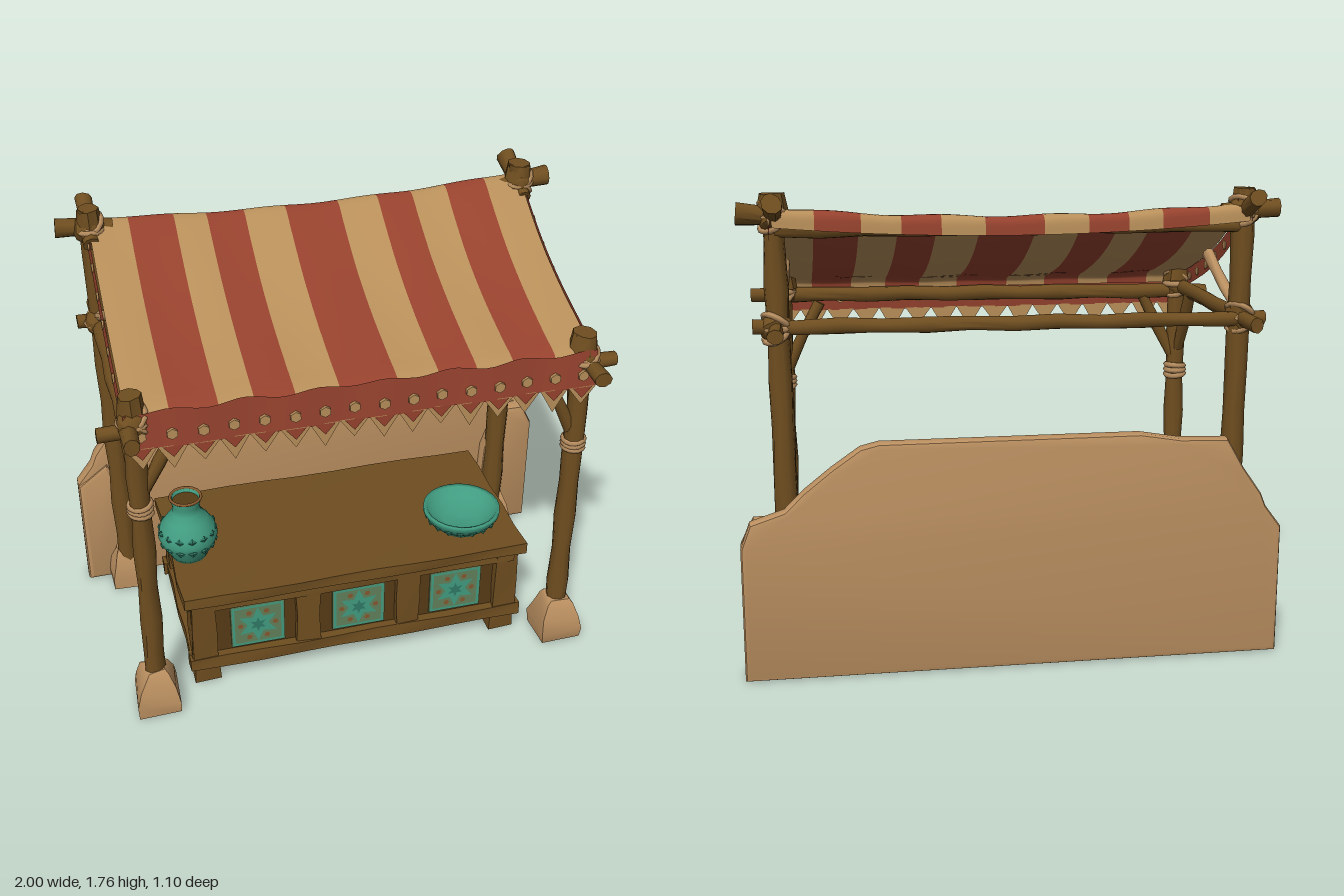
import * as THREE from 'three';
import { toCreasedNormals } from 'three/addons/utils/BufferGeometryUtils.js';

const mat = (name, color, side = THREE.FrontSide) => {
  const m = new THREE.MeshStandardMaterial({ color, side });
  m.name = name;
  return m;
};
const V = (x, y, z) => new THREE.Vector3(x, y, z);

export function createModel() {
  const M = {
    wood: mat('wood', 0x6f4e20), dark: mat('darkWood', 0x573c17), stone: mat('sandstone', 0xba8f60),
    rope: mat('rope', 0xb98f60), red: mat('redCloth', 0x96422e, THREE.DoubleSide),
    cream: mat('creamCloth', 0xb88f5a, THREE.DoubleSide), teal: mat('tealGlaze', 0x419c80, THREE.DoubleSide),
    deep: mat('deepTeal', 0x2f7a66), tile: mat('tileGreen', 0x62805a), rust: mat('rustPaint', 0x85592f),
  };
  const root = new THREE.Group();
  root.name = 'marketStall';
  const add = (name, geo, m, x = 0, y = 0, z = 0, parent = root) => {
    const mesh = new THREE.Mesh(geo, m);
    mesh.name = name;
    mesh.position.set(x, y, z);
    parent.add(mesh);
    return mesh;
  };
  // Uneven, hand-hewn surface; depends on position only, so seams stay shut
  const rough = (geo, amt, seed = 0, crease = 0.7) => {
    const p = geo.attributes.position;
    for (let i = 0; i < p.count; i++) {
      const [x, y, z] = [p.getX(i), p.getY(i), p.getZ(i)];
      const n = k => Math.sin(x * 31 + y * 17 * k + z * 23 + seed * 5.3 + k * 2.1) * amt;
      p.setXYZ(i, x + n(1), y + n(1.7) * 0.5, z + n(2.3));
    }
    return toCreasedNormals(geo, crease);
  };
  const box = (name, w, h, d, x, y, z, m = M.wood, amt = 0.004) =>
    add(name, rough(new THREE.BoxGeometry(w, h, d, Math.ceil(w * 6), 2, Math.ceil(d * 6)), amt, x + z), m, x, y, z);
  // A log running from a to b
  const log = (name, a, b, r0, r1 = r0, m = M.wood) => {
    const dir = b.clone().sub(a), len = dir.length();
    const g = rough(new THREE.CylinderGeometry(r1, r0, len, 9, Math.ceil(len * 6)), 0.004, a.x + a.z, 0.9);
    const mesh = add(name, g, m, ...a.clone().add(b).multiplyScalar(0.5).toArray());
    mesh.quaternion.setFromUnitVectors(V(0, 1, 0), dir.normalize());
  };
  // Rope coils round a post, tilted where they bind a joint
  const lash = (x, y, z, r, tilt) => [-1, 0, 1].forEach(i => {
    const t = add('ropeLashing', new THREE.TorusGeometry(r, 0.012, 5, 14), M.rope, x, y + i * 0.019, z);
    t.rotation.set(Math.PI / 2 + i * tilt, i * tilt, 0);
  });
  const knot = (x, y, z) => {
    add('jointKnot', rough(new THREE.IcosahedronGeometry(0.058, 1), 0.006, x + y, 0.6), M.wood, x, y, z);
    lash(x, y, z, 0.05, 0.5);
  };
  const lathe = (name, pts, m, x, y, z) =>
    add(name, new THREE.LatheGeometry(pts.map(p => new THREE.Vector2(...p)), 24), m, x, y, z);

  // Posts, feet, side rails and braces, mirrored
  for (const s of [-1, 1]) {
    const xf = s * 0.825, xb = s * 0.845;
    log('frontPost', V(xf, 0.1, 0.4), V(xf, 1.4, 0.405), 0.041, 0.038);
    log('backPost', V(xf, 0.1, -0.37), V(xb, 1.75, -0.37), 0.044, 0.04);
    for (const [y, z, x] of [[1.36, 0.4, xf], [1.705, -0.37, xb]])
      add('postHead', rough(new THREE.CylinderGeometry(0.045, 0.056, 0.09, 8), 0.006, s), M.wood, x, y, z);
    for (const z of [0.405, -0.39]) {
      const pts = [[0, 0], [0.112, 0], [0.118, 0.05], [0.1, 0.11], [0.07, 0.165], [0.05, 0.182], [0, 0.182]];
      const g = new THREE.LatheGeometry(pts.map(p => new THREE.Vector2(...p)), 4);
      g.rotateY(Math.PI / 4);
      add('stoneFoot', rough(g, 0.006, s + z, 0.8), M.stone, xf, 0.003, z);
    }
    log('sideRail', V(s * 0.845, 1.285, 0.55), V(s * 0.85, 1.275, -0.55), 0.031, 0.027);
    log('railStub', V(s * 0.85, 1.635, -0.3), V(s * 0.845, 1.725, -0.52), 0.028, 0.034);
    log('backBeamEnd', V(s * 0.76, 1.66, -0.38), V(s * 0.97, 1.68, -0.385), 0.032, 0.037);
    log('frontBrace', V(s * 0.81, 0.99, 0.4), V(s * 0.68, 1.25, 0.41), 0.024);
    log('sideBrace', V(s * 0.83, 1.03, 0.38), V(s * 0.845, 1.28, 0.26), 0.024);
    log('paleBrace', V(s * 0.84, 1.31, -0.35), V(s * 0.81, 1.475, -0.06), 0.022, 0.022, M.rope);
    lash(xf, 0.93, 0.4, 0.038, 0.08);
    knot(xf, 1.3, 0.41);
    knot(xb, 1.28, -0.37);
    knot(xb, 1.67, -0.37);
  }
  log('frontBeam', V(-0.95, 1.265, 0.41), V(0.95, 1.285, 0.41), 0.03);
  log('backBeam', V(-0.84, 1.622, -0.385), V(0.84, 1.622, -0.385), 0.028);
  log('backLowerBeam', V(-0.93, 1.275, -0.39), V(0.93, 1.285, -0.39), 0.027);

  // Ruined wall behind the stall
  const slab = (name, pts, z, d, bevelThickness) => add(name, toCreasedNormals(new THREE.ExtrudeGeometry(
    new THREE.Shape(pts.map(p => new THREE.Vector2(...p))),
    { depth: d, bevelSize: 0.02, bevelThickness, bevelSegments: 2 }), 0.6), M.stone, 0, 0, z);
  slab('ruinedWall', [[-0.98, 0.02], [0.98, 0.02], [0.98, 0.5], [0.95, 0.58], [0.83, 0.62], [0.76, 0.69],
    [0.66, 0.77], [0.56, 0.84], [0.5, 0.855], [0, 0.855], [-0.45, 0.855], [-0.6, 0.83], [-0.77, 0.825], [-0.83, 0.72],
    [-0.9, 0.62], [-0.92, 0.57], [-0.98, 0.49]], -0.475, 0.035, 0.018);
  slab('wallEndLeft', [[0.78, 0.02], [0.98, 0.02], [0.98, 0.5], [0.94, 0.58], [0.86, 0.58], [0.8, 0.4]], -0.46, 0.065, 0.025);
  slab('wallEndRight', [[-0.98, 0.02], [-0.76, 0.02], [-0.82, 0.4], [-0.88, 0.56], [-0.98, 0.48]], -0.46, 0.025, 0.025);
  for (const x of [-0.45, 0.35])
    slab('wallChip', [[x - 0.04, 0.63], [x + 0.03, 0.63], [x + 0.02, 0.7], [x, 0.73], [x - 0.03, 0.69]], -0.45, 0.01, 0.025);

  // Counter: dark core, frame, top and feet
  box('counterCore', 1.28, 0.31, 0.62, 0, 0.245, 0.01, M.dark, 0);
  box('counterTop', 1.39, 0.045, 0.7, 0, 0.412, 0.01);
  for (const z of [0.325, -0.305]) {
    box('lowerRail', 1.37, 0.055, 0.06, 0, 0.1, z);
    box('upperRail', 1.3, 0.04, 0.05, 0, 0.375, z);
    for (const x of [-0.62, -0.205, 0.205, 0.62]) box('framePost', 0.095, 0.3, 0.05, x, 0.25, z);
  }
  for (const s of [-1, 1]) {
    box('sideLowerRail', 0.06, 0.055, 0.62, s * 0.645, 0.1, 0.01);
    box('sideUpperRail', 0.05, 0.04, 0.62, s * 0.645, 0.375, 0.01);
    for (const z of [0.3, -0.28]) {
      box('sideFramePost', 0.05, 0.3, 0.085, s * 0.645, 0.25, z);
      box('counterFoot', 0.1, 0.09, 0.085, s * 0.615, 0.047, z);
    }
  }

  // Painted tiles with star flowers
  const star = (n, r, inner) => new THREE.ShapeGeometry(new THREE.Shape(Array.from({ length: n * 2 }, (_, i) => {
    const a = i * Math.PI / n, q = i % 2 ? inner : r;
    return new THREE.Vector2(Math.sin(a) * q, Math.cos(a) * q);
  })));
  const tile = (w, h, stars, x, y, z, turn) => {
    const g = new THREE.Group();
    g.name = 'paintedTile';
    g.position.set(x, y, z);
    g.rotation.y = turn;
    root.add(g);
    add('tilePlate', new THREE.BoxGeometry(w, h, 0.008), M.tile, 0, 0, 0, g);
    for (const cx of stars) {
      add('starFlower', star(6, 0.085, 0.042), M.teal, cx, 0, 0.006, g);
      add('flowerHeart', star(6, 0.035, 0.016), M.deep, cx, 0, 0.008, g);
      for (let i = 0; i < 6; i++) {
        const a = (i + 0.5) * Math.PI / 3;
        add('petalDot', new THREE.CircleGeometry(0.012, 6), M.rust, cx + Math.sin(a) * 0.07, Math.cos(a) * 0.07, 0.006, g);
      }
    }
    for (const s of [-1, 1]) {
      add('tileBorder', new THREE.PlaneGeometry(w - 0.01, 0.01), M.teal, 0, s * (h / 2 - 0.01), 0.0055, g);
      add('tileBorder', new THREE.PlaneGeometry(0.01, h - 0.01), M.teal, s * (w / 2 - 0.01), 0, 0.0055, g);
    }
  };
  for (const x of [-0.405, 0.005, 0.41]) tile(0.215, 0.2, [0], x, 0.24, 0.326, 0);
  for (const s of [-1, 1]) tile(0.35, 0.21, [-0.088, 0.088], s * 0.646, 0.245, 0.03, s * Math.PI / 2);

  // Jar and bowl
  lathe('jar', [[0, 0], [0.07, 0], [0.078, 0.02], [0.106, 0.065], [0.117, 0.1], [0.108, 0.14], [0.08, 0.18], [0.056, 0.21],
    [0.052, 0.24], [0.065, 0.275], [0.055, 0.275], [0.044, 0.235], [0.044, 0.2], [0, 0.19]], M.teal, -0.62, 0.434, 0.065);
  add('jarRim', new THREE.TorusGeometry(0.06, 0.006, 6, 24), M.rust, -0.62, 0.709, 0.065).rotation.x = Math.PI / 2;
  add('jarMouth', new THREE.CylinderGeometry(0.054, 0.05, 0.008, 20), M.dark, -0.62, 0.69, 0.065);
  lathe('bowl', [[0, 0], [0.1, 0], [0.106, 0.012], [0.135, 0.035], [0.155, 0.068], [0.155, 0.086], [0.14, 0.082], [0.118, 0.045],
    [0.07, 0.025], [0, 0.02]], M.teal, 0.485, 0.434, 0.155);
  for (const [n, cx, cz, y, r] of [[14, -0.62, 0.065, 0.51, 0.109], [14, -0.62, 0.065, 0.565, 0.11], [18, 0.485, 0.155, 0.482, 0.142]])
    for (let i = 0; i < n; i++) {
      const a = i * Math.PI * 2 / n;
      const d = add('glazeDiamond', new THREE.OctahedronGeometry(0.018), M.deep, cx + Math.sin(a) * r, y, cz + Math.cos(a) * r);
      d.scale.z = 0.4;
      d.rotation.y = a;
    }

  // Striped canopy, sagging between the posts and folded over the back beam
  const profile = [[0.44, 1.3], [0.43, 1.335], [0.3, 1.378], [0.1, 1.443], [-0.1, 1.53], [-0.28, 1.637], [-0.38, 1.7],
    [-0.42, 1.69], [-0.43, 1.635]];
  const drape = new THREE.CatmullRomCurve3(profile.map(([z, y]) => V(0, y, z)));
  const at = (x, t) => {
    const p = drape.getPoint(t);
    const sag = 0.038 * (1 - (x / 0.85) ** 2) * Math.min(1, t * 1.3);
    return V(x, p.y - sag + 0.006 * Math.sin(x * 16 + t * 5) * Math.sin(Math.PI * t), p.z);
  };
  const sheet = (name, m, fn, nu, nv) => {
    const g = new THREE.PlaneGeometry(1, 1, nu, nv), p = g.attributes.position;
    for (let i = 0; i < p.count; i++) p.setXYZ(i, ...fn(p.getX(i) + 0.5, 0.5 - p.getY(i)).toArray());
    g.computeVertexNormals();
    add(name, g, m);
  };
  const edges = [-0.85, -0.7, -0.53, -0.405, -0.26, -0.1, 0.11, 0.265, 0.405, 0.545, 0.705, 0.85];
  for (let i = 0; i < edges.length - 1; i++)
    sheet('canopyStripe', i % 2 ? M.red : M.cream, (u, v) => at(edges[i] + u * (edges[i + 1] - edges[i]), 1 - v), 4, 28);

  // Red side trims with cream dots
  for (const s of [-1, 1]) {
    sheet('sideTrim', M.red, (u, v) => at(s * 0.85, 0.03 + u * 0.93).add(V(s * 0.006 * (1 + v), 0.004 - v * 0.065, 0)), 24, 1);
    for (let i = 0; i < 12; i++) {
      const p = at(s * 0.85, 0.08 + i * 0.072);
      add('trimDot', new THREE.CylinderGeometry(0.019, 0.019, 0.009, 5), M.cream, p.x + s * 0.01, p.y - 0.03, p.z).rotation.z = Math.PI / 2;
    }
  }

  // Front valance: red band, dots and ragged teeth
  const wave = x => 0.459 + 0.005 * Math.sin(x * 18);
  sheet('valance', M.red, (u, v) => {
    const x = -0.86 + u * 1.72;
    return V(x, 1.35 + 0.008 * Math.sin(x * 25) * (1 - v) - v * 0.14, wave(x) - 0.012 * (1 - v));
  }, 48, 2);
  const tri = (w, h) => new THREE.ShapeGeometry(new THREE.Shape(
    [[-w / 2, 0], [0, -h], [w / 2, 0]].map(p => new THREE.Vector2(...p))));
  const n = 16, step = 1.72 / n;
  for (let i = 0; i < n; i++) {
    const x = -0.86 + (i + 0.5) * step;
    add('valanceTooth', tri(step, 0.085 + 0.012 * Math.sin(i * 2.4)), M.cream, x, 1.214, wave(x));
    add('redTooth', tri(step * 0.7, 0.045), M.red, x, 1.214, wave(x) + 0.004);
    add('valanceDot', new THREE.CylinderGeometry(0.021, 0.021, 0.02, 6), M.cream, x, 1.262, wave(x) - 0.004).rotation.x = Math.PI / 2;
  }
  return root;
}
